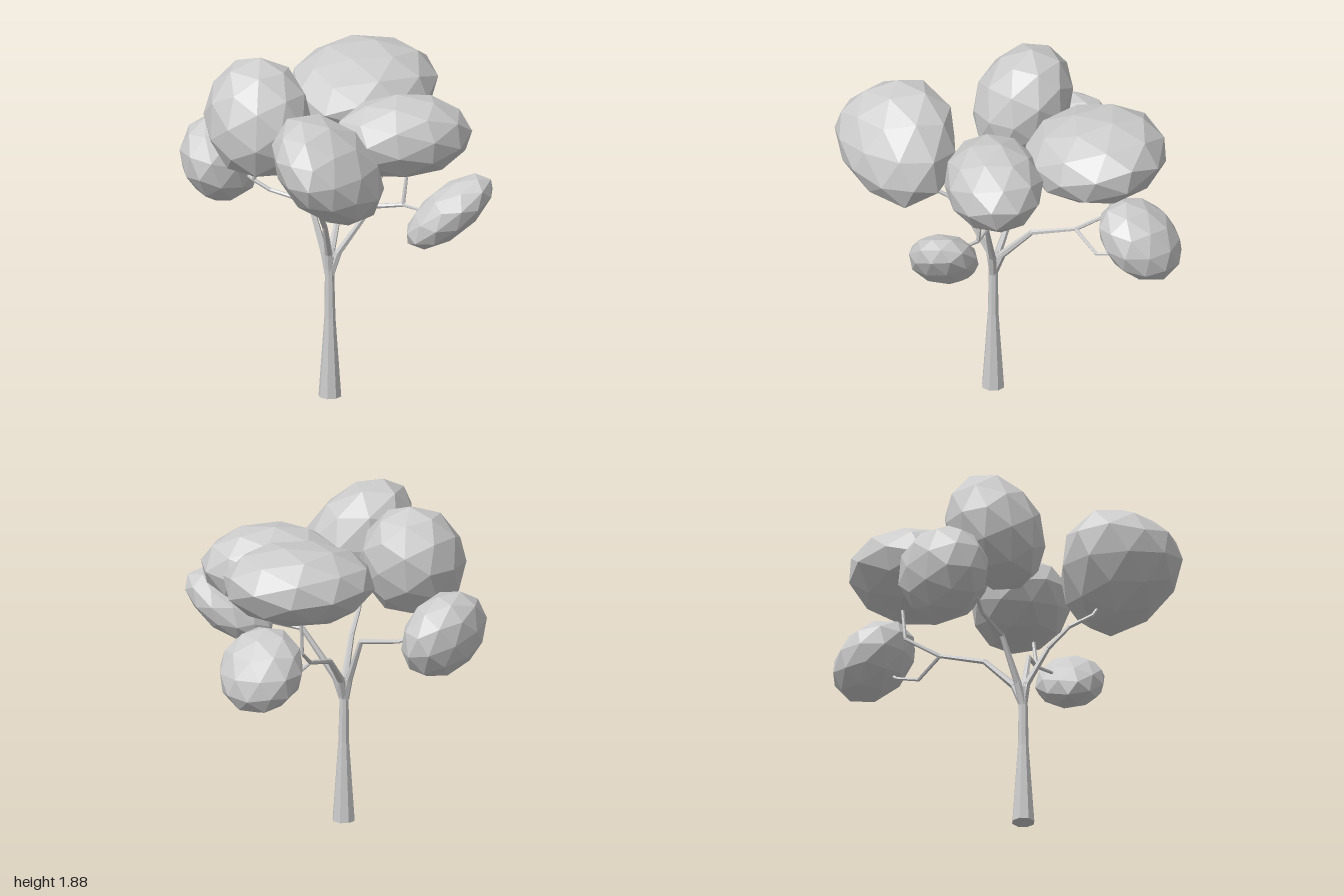
import * as THREE from 'three';
import { mergeGeometries, mergeVertices } from 'three/addons/utils/BufferGeometryUtils.js';

const V = (p) => new THREE.Vector3(...p);

export function createModel() {
  const tree = new THREE.Group();
  tree.name = 'tree';
  const material = new THREE.MeshStandardMaterial({ color: 0xcccccc, flatShading: true });

  let seed = 7;
  const rand = () => (seed = (seed * 16807) % 2147483647) / 2147483647;

  const add = (name, geometry) => {
    const mesh = new THREE.Mesh(geometry, material);
    mesh.name = name;
    tree.add(mesh);
  };

  // Tapered limb through points [x, y, z, radius], with overlapping joints
  const limb = (name, points, sides = 6) => {
    const parts = [];
    for (let i = 0; i < points.length - 1; i++) {
      const a = V(points[i].slice(0, 3)), b = V(points[i + 1].slice(0, 3));
      const dir = b.clone().sub(a);
      const g = new THREE.CylinderGeometry(points[i + 1][3], points[i][3], dir.length(), sides);
      g.applyQuaternion(new THREE.Quaternion().setFromUnitVectors(V([0, 1, 0]), dir.normalize()));
      g.translate(...a.add(b).multiplyScalar(0.5).toArray());
      parts.push(g);
      if (i > 0) {
        const joint = new THREE.SphereGeometry(points[i][3], sides, 4);
        joint.translate(...points[i].slice(0, 3));
        parts.push(joint);
      }
    }
    add(name, mergeGeometries(parts));
  };

  // Faceted egg filling the box min..max; skew = [xy, xz, yz] tilts it in each plane,
  // taper narrows it towards +z
  const leafClump = (name, min, max, [xy, xz, yz], taper = 0) => {
    let g = new THREE.IcosahedronGeometry(1, 1);
    g.deleteAttribute('uv');
    g.deleteAttribute('normal');
    g = mergeVertices(g, 1e-3);
    g.rotateX(rand() * 3).rotateY(rand() * 3);
    const pos = g.attributes.position;
    const c = Math.sqrt(1 - xy * xy), e = (yz - xy * xz) / c;
    const f = Math.sqrt(1 - xz * xz - e * e);
    for (let i = 0; i < pos.count; i++) {
      const p = new THREE.Vector3().fromBufferAttribute(pos, i).multiplyScalar(0.99 + rand() * 0.02);
      const z = xz * p.x + e * p.y + f * p.z, k = 1 - taper * z;
      pos.setXYZ(i, p.x * k, (xy * p.x + c * p.y) * k, z);
    }
    // Fit to the box
    g.computeBoundingBox();
    const size = g.boundingBox.getSize(new THREE.Vector3());
    const mid = g.boundingBox.getCenter(new THREE.Vector3());
    const lo = V(min), hi = V(max);
    g.translate(-mid.x, -mid.y, -mid.z);
    g.scale(...hi.clone().sub(lo).divide(size).toArray());
    g.translate(...lo.add(hi).multiplyScalar(0.5).toArray());
    g.computeVertexNormals();
    add(name, g);
  };

  // Trunk
  limb('trunk', [[-0.023, 0, 0.12, 0.063], [-0.023, 0.45, 0.12, 0.031],
    [-0.025, 0.7, 0.12, 0.026], [-0.025, 0.8, 0.12, 0.028]], 8);

  // Main branches
  limb('rightBranch', [[-0.03, 0.7, 0.12, 0.024], [-0.06, 0.82, 0.1, 0.021], [-0.15, 1.07, 0.04, 0.014],
    [-0.38, 1.11, 0, 0.011], [-0.47, 1.16, 0, 0.011], [-0.47, 1.32, 0.03, 0.009]]);
  limb('leftBranch', [[-0.02, 0.7, 0.12, 0.024], [0.02, 0.82, 0.11, 0.021], [0.2, 1.09, 0.08, 0.014],
    [0.37, 1.11, 0.07, 0.012], [0.39, 1.32, 0.04, 0.009]]);
  limb('backBranch', [[-0.025, 0.7, 0.12, 0.024], [-0.025, 0.82, 0.07, 0.021], [-0.02, 0.99, -0.1, 0.015],
    [0, 1.07, -0.36, 0.012], [-0.02, 1.19, -0.55, 0.01], [-0.02, 1.42, -0.57, 0.009]]);
  limb('frontBranch', [[-0.025, 0.7, 0.12, 0.024], [-0.025, 0.82, 0.14, 0.021], [-0.02, 1.02, 0.26, 0.015],
    [-0.02, 1.13, 0.38, 0.012], [0.02, 1.2, 0.5, 0.01], [0.04, 1.32, 0.58, 0.009]]);

  // Twigs holding the lower clumps
  limb('rightTwig', [[-0.47, 1.16, 0, 0.01], [-0.53, 1.17, -0.06, 0.009], [-0.62, 1.2, -0.1, 0.008]]);
  limb('leftTwig', [[0.37, 1.11, 0.07, 0.011], [0.46, 1.11, 0.12, 0.009], [0.58, 1.1, 0.17, 0.008]]);
  limb('backTwig', [[0, 1.07, -0.36, 0.011], [0.09, 0.99, -0.51, 0.01], [0.1, 1.02, -0.64, 0.009],
    [0.12, 1.1, -0.72, 0.008]]);

  // Foliage
  leafClump('rightUpperFoliage', [-0.72, 1.23, -0.18], [-0.14, 1.88, 0.36], [-0.05, 0, -0.18]);
  leafClump('frontFoliage', [-0.22, 1.17, 0.3], [0.36, 1.77, 1.0], [-0.38, -0.1, 0.1], 0.22);
  leafClump('leftUpperFoliage', [-0.01, 1.25, -0.31], [0.71, 1.7, 0.28], [0, -0.27, 0]);
  leafClump('backUpperFoliage', [-0.37, 1.34, -0.88], [0.41, 1.8, -0.08], [0, -0.12, -0.17], 0.05);
  leafClump('rightLowerFoliage', [-0.88, 1.0, -0.38], [-0.48, 1.47, 0.14], [-0.18, -0.22, 0]);
  leafClump('leftLowerFoliage', [0.42, 0.93, -0.03], [0.88, 1.33, 0.37], [0.63, -0.15, -0.2]);
  leafClump('backLowerFoliage', [-0.1, 0.94, -1.0], [0.37, 1.37, -0.55], [0, 0, 0.34]);

  return tree;
}
